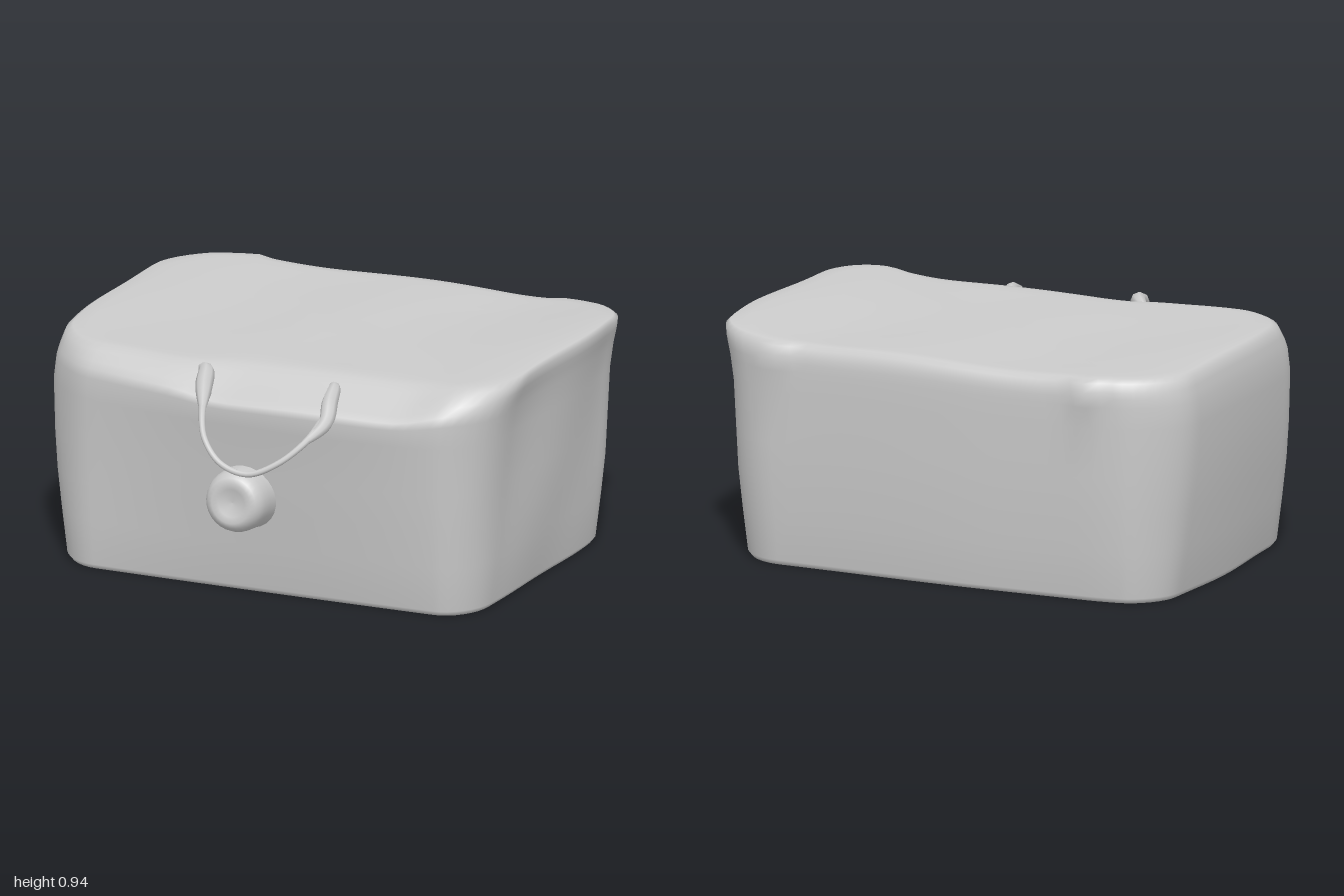
import * as THREE from 'three';

const material = new THREE.MeshStandardMaterial({ color: 0xcccccc, side: THREE.DoubleSide });
const smooth = THREE.MathUtils.smoothstep;
const bump = (d, w) => Math.exp(-(d * d) / (w * w));

// Rounded rectangle outline with a bowed front edge
function outline([, x0, x1, z0, z1, r, bow]) {
  const corners = [[x1 - r, z1 - r], [x0 + r, z1 - r], [x0 + r, z0 + r], [x1 - r, z0 + r]];
  const pts = [];
  const ARC = 8, EDGE = 24;
  corners.forEach(([cx, cz], i) => {
    for (let k = 0; k <= ARC; k++) {
      const a = (i + k / ARC) * Math.PI / 2;
      pts.push([cx + r * Math.cos(a), cz + r * Math.sin(a)]);
    }
    const [nx, nz] = corners[(i + 1) % 4];
    const a = (i + 1) * Math.PI / 2, ox = r * Math.cos(a), oz = r * Math.sin(a);
    for (let k = 1; k < EDGE; k++) {
      const t = k / EDGE;
      pts.push([cx + (nx - cx) * t + ox, cz + (nz - cz) * t + oz]);
    }
  });
  return pts.map(([x, z]) => {
    const b = Math.max(0, 1 - ((x - 0.12) / 1.05) ** 2);
    return [x, z + bow * b * smooth(z, 0.1, 0.4)];
  });
}

// Soft, uneven shaping of the box
function deform(x, y, z) {
  const high = smooth(y, 0.7, 0.9);
  const right = smooth(x, 0.45, 0.95), front = smooth(z, 0.38, 0.5);
  const px = x - 0.05 * smooth(x, 0.5, 0.9) * smooth(z, -0.45, 0.4)
    + 0.09 * smooth(-x, 0.6, 0.95) * (z + 0.1) ** 2
    + 0.005 * Math.sin(9 * z + 5 * y) * smooth(Math.abs(x), 0.6, 0.9);
  const dip = smooth(x, -0.4, -0.15) * (1 - smooth(x, 0.55, 0.85));
  const rear = 1 - smooth(z, -0.78, -0.4);
  const peaks = bump(x + 0.62, 0.05) + 0.8 * bump(x - 0.72, 0.05);
  const pz = z - 0.03 * smooth(y, 0.7, 0.79) * peaks * (1 - smooth(z, -0.82, -0.7))
    + rear * (0.045 * smooth(x, -0.2, 0.95) + 0.03 * smooth(-x, 0.6, 0.95));
  const py = y + high * (0.038 * right * bump(z + 0.1, 0.75) - 0.045 * dip * front
    - 0.012 * bump(x + 0.4, 0.25) + 0.005 * Math.sin(8 * x + 3) * Math.cos(5 * z));
  return [px, py, pz];
}

function buildBody() {
  // height, left x, right x, back z, front z, corner radius, front bow
  const levels = [
    [0.0, -0.915, 0.885, -0.755, 0.47, 0.17, 0.01],
    [0.02, -0.93, 0.9, -0.77, 0.485, 0.18, 0.01],
    [0.2, -0.955, 0.92, -0.79, 0.49, 0.2, 0.035],
    [0.35, -0.975, 0.935, -0.805, 0.49, 0.21, 0.06],
    [0.5, -0.99, 0.945, -0.815, 0.49, 0.22, 0.085],
    [0.7, -1.003, 0.96, -0.825, 0.49, 0.23, 0.115],
    [0.79, -0.995, 0.975, -0.828, 0.487, 0.23, 0.138],
    [0.825, -0.988, 0.985, -0.827, 0.475, 0.23, 0.135],
    [0.85, -0.982, 0.992, -0.825, 0.46, 0.23, 0.115],
    [0.885, -0.972, 1.0, -0.815, 0.44, 0.23, 0.07],
    [0.9, -0.95, 0.985, -0.795, 0.41, 0.22, 0.04],
  ];
  const rings = levels.map((l) => outline(l).map(([x, z]) => [x, l[0], z]));
  const shrink = (ring, s, y) => ring.map(([x, , z]) => [x * s, y, -0.15 + (z + 0.15) * s]);
  const bottom = rings[0], top = rings[rings.length - 1];
  rings.unshift(shrink(bottom, 0, 0), shrink(bottom, 0.6, 0));
  [0.94, 0.86, 0.75, 0.6, 0.4, 0.2, 0].forEach((s) => rings.push(shrink(top, s, 0.902)));

  const n = top.length, last = rings.length - 1, position = [], index = [];
  rings.forEach((ring) => ring.forEach((p) => position.push(...deform(...p))));
  for (let j = 0; j < last; j++) {
    for (let i = 0; i < n; i++) {
      const a = j * n + i, b = j * n + (i + 1) % n, c = a + n, d = b + n;
      if (j > 0) index.push(a, c, b);
      if (j < last - 1) index.push(b, c, d);
    }
  }
  const g = new THREE.BufferGeometry();
  g.setAttribute('position', new THREE.Float32BufferAttribute(position, 3));
  g.setIndex(index);
  g.computeVertexNormals();
  // Collapsed centre vertices need explicit normals
  for (let i = 0; i < n; i++) {
    g.attributes.normal.setXYZ(i, 0, -1, 0);
    g.attributes.normal.setXYZ(last * n + i, 0, 1, 0);
  }
  return g;
}

// Tube through points, with a radius that varies along its length
function cord(points, radius, segments = 40) {
  const curve = new THREE.CatmullRomCurve3(points.map((p) => new THREE.Vector3(...p)));
  const g = new THREE.TubeGeometry(curve, segments, 1, 8);
  const pos = g.attributes.position, nor = g.attributes.normal;
  for (let i = 0; i < pos.count; i++) {
    const t = Math.floor(i / 9) / segments;
    const c = curve.getPointAt(t), r = radius(t);
    pos.setXYZ(i, c.x + nor.getX(i) * r, c.y + nor.getY(i) * r, c.z + nor.getZ(i) * r);
  }
  return g;
}

export function createModel() {
  const model = new THREE.Group();
  const add = (name, geometry) => {
    const mesh = new THREE.Mesh(geometry, material);
    mesh.name = name;
    model.add(mesh);
    return mesh;
  };

  add('body', buildBody());

  // Round knob with a softly dished face
  const profile = [[0.135, -0.06], [0.128, -0.01], [0.125, 0.04], [0.123, 0.08], [0.115, 0.105],
    [0.1, 0.125], [0.08, 0.134], [0.055, 0.128], [0.03, 0.12], [0, 0.117]];
  const knob = add('knob', new THREE.LatheGeometry(profile.map(([r, y]) => new THREE.Vector2(r, y)), 28));
  knob.rotation.x = Math.PI / 2 - 0.08;
  knob.position.set(-0.07, 0.41, 0.57);

  // Hanging carry loop
  add('handle', cord([[-0.22, 0.82, 0.6], [-0.195, 0.775, 0.69], [-0.15, 0.695, 0.77], [-0.06, 0.62, 0.82],
    [0.06, 0.597, 0.833], [0.17, 0.645, 0.8], [0.25, 0.715, 0.735], [0.29, 0.78, 0.63]],
  (t) => 0.012 + 0.012 * Math.abs(2 * t - 1) ** 6));

  // Raised folds where the loop meets the lid
  add('handleFold', cord([[-0.33, 0.85, 0.42], [-0.27, 0.872, 0.48], [-0.235, 0.84, 0.58], [-0.195, 0.775, 0.69]],
    (t) => 0.01 + 0.025 * Math.sin(Math.PI * t), 20));
  add('handleFold', cord([[0.22, 0.84, 0.4], [0.265, 0.865, 0.47], [0.285, 0.835, 0.56], [0.3, 0.775, 0.64], [0.25, 0.715, 0.735]],
    (t) => 0.01 + 0.022 * Math.sin(Math.PI * t), 20));

  return model;
}
